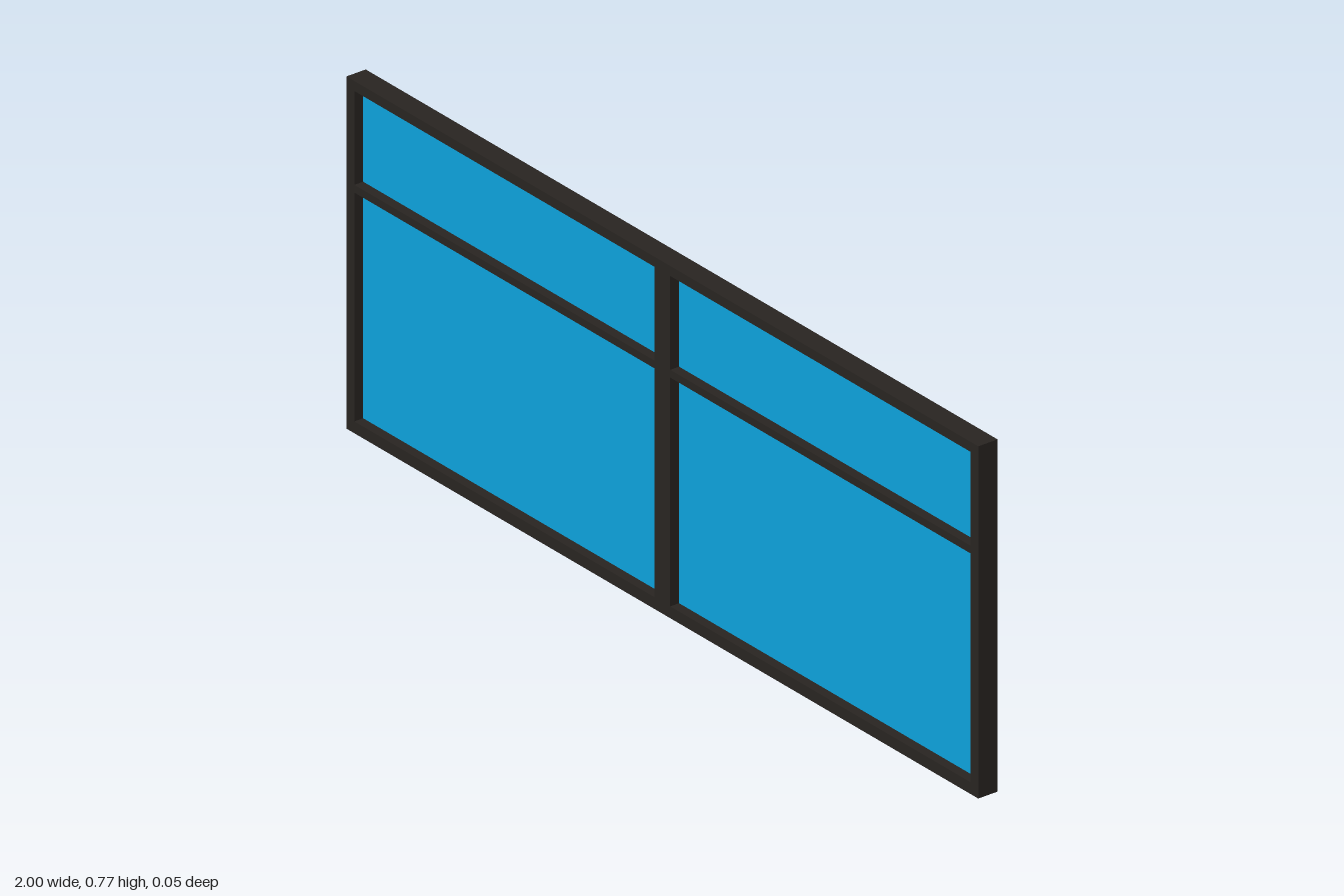
import * as THREE from 'three';

const HEIGHT = 0.775, DEPTH = 0.048;
const STILE = 0.025, TOP_RAIL = 0.022, BOTTOM_RAIL = 0.026;
const BAR_Y = 0.538, BAR_H = 0.017;

export function createModel() {
  const model = new THREE.Group();
  model.name = 'window';
  const frameMaterial = new THREE.MeshStandardMaterial({ color: 0x292522 });
  const glassMaterial = new THREE.MeshStandardMaterial({ color: 0x0ea5e0 });

  const addBox = (parent, name, material, [w, h, d], [x, y]) => {
    const mesh = new THREE.Mesh(new THREE.BoxGeometry(w, h, d), material);
    mesh.name = name;
    mesh.position.set(x, y, 0);
    parent.add(mesh);
  };

  const innerWidth = 1 - 2 * STILE;
  const innerHeight = HEIGHT - TOP_RAIL - BOTTOM_RAIL;

  // Two identical sashes side by side; their inner stiles form the mullion
  for (const side of [-1, 1]) {
    const sash = new THREE.Group();
    sash.name = side > 0 ? 'leftSash' : 'rightSash';
    sash.position.x = side * 0.5;

    // Uprights
    for (const s of [-1, 1]) {
      addBox(sash, s === side ? 'outerStile' : 'innerStile', frameMaterial,
        [STILE, HEIGHT, DEPTH], [s * (0.5 - STILE / 2), HEIGHT / 2]);
    }
    // Rails and transom bar
    addBox(sash, 'topRail', frameMaterial, [innerWidth, TOP_RAIL, DEPTH], [0, HEIGHT - TOP_RAIL / 2]);
    addBox(sash, 'bottomRail', frameMaterial, [innerWidth, BOTTOM_RAIL, DEPTH], [0, BOTTOM_RAIL / 2]);
    addBox(sash, 'transomBar', frameMaterial, [innerWidth, BAR_H, DEPTH], [0, BAR_Y]);
    // Thin pane in the middle of the frame depth
    addBox(sash, 'glassPane', glassMaterial, [innerWidth, innerHeight, 0.004],
      [0, BOTTOM_RAIL + innerHeight / 2]);

    model.add(sash);
  }
  return model;
}
